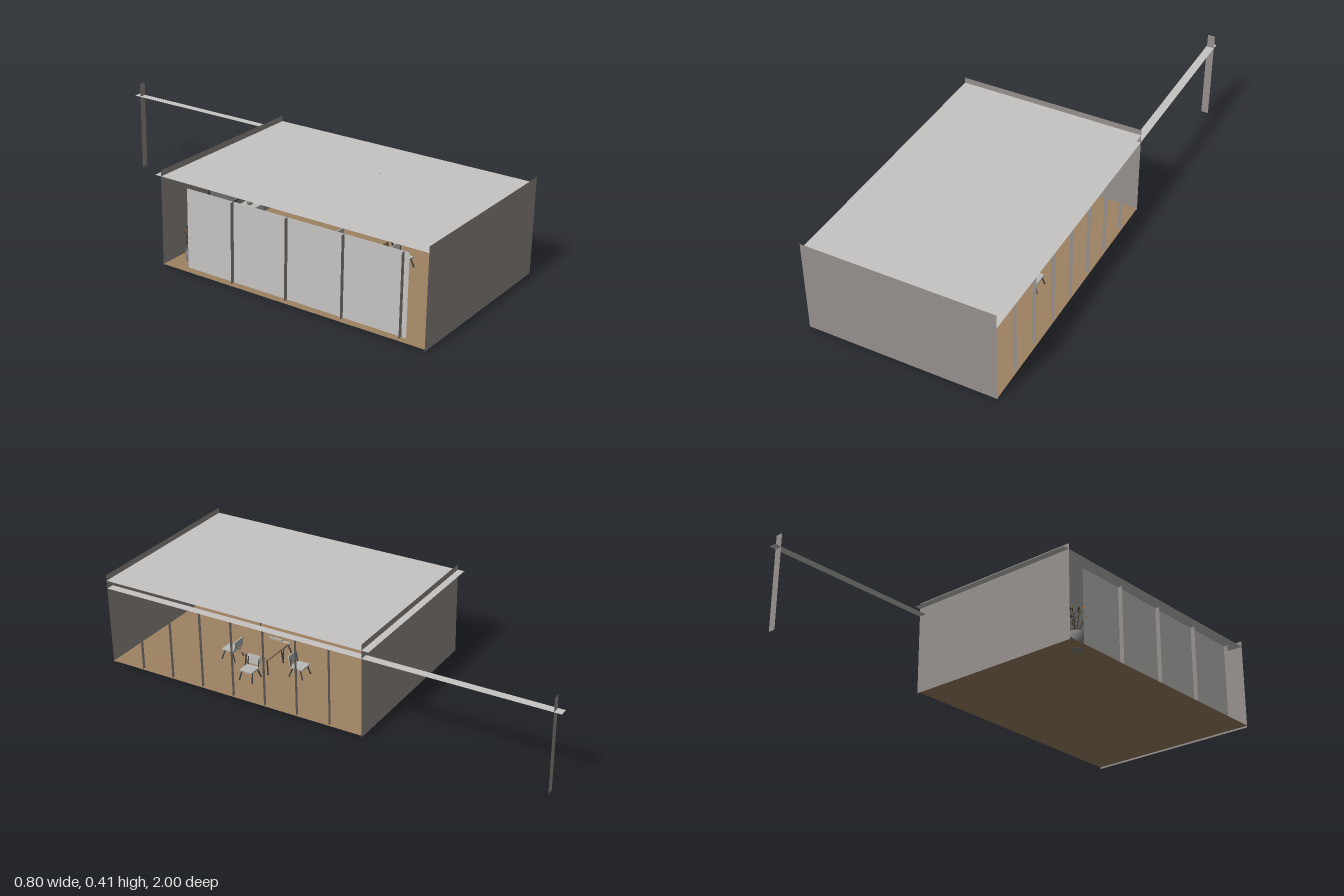
import * as THREE from 'three';

const mat = (name, color, side = THREE.FrontSide) => {
  const m = new THREE.MeshStandardMaterial({ color, side });
  m.name = name;
  return m;
};

export function createModel() {
  const model = new THREE.Group();
  model.name = 'pavilion';
  const D = THREE.DoubleSide;
  const light = mat('pale plaster', 0xc6c5c3, D);
  const wall = mat('warm grey wall', 0x96908d, D);
  const wood = mat('floor wood', 0x9e8263, D);
  const dark = mat('dark metal', 0x3f3f40, D);
  const pale = mat('furniture grey', 0xb9b8b5, D);
  const pot = mat('pot grey', 0x858483, D);
  const leaf = mat('leaf brown', 0x4c4334, D);
  const orange = mat('flower orange', 0xb5763c, D);

  const add = (name, geo, m, x, y, z, parent = model) => {
    const mesh = new THREE.Mesh(geo, m);
    mesh.name = name;
    mesh.position.set(x, y, z);
    parent.add(mesh);
    return mesh;
  };
  const box = (name, m, x0, x1, y0, y1, z0, z1, parent) =>
    add(name, new THREE.BoxGeometry(x1 - x0, y1 - y0, z1 - z0), m,
      (x0 + x1) / 2, (y0 + y1) / 2, (z0 + z1) / 2, parent);
  // flat sheets: upright facing z, upright facing x, and lying flat
  const sheetZ = (name, m, x0, x1, y0, y1, z) =>
    add(name, new THREE.PlaneGeometry(x1 - x0, y1 - y0), m, (x0 + x1) / 2, (y0 + y1) / 2, z);
  const sheetX = (name, m, z0, z1, y0, y1, x) => {
    add(name, new THREE.PlaneGeometry(z1 - z0, y1 - y0), m, x, (y0 + y1) / 2, (z0 + z1) / 2).rotation.y = Math.PI / 2;
  };
  const sheetY = (name, m, x0, x1, z0, z1, y) => {
    add(name, new THREE.PlaneGeometry(x1 - x0, z1 - z0), m, (x0 + x1) / 2, y, (z0 + z1) / 2).rotation.x = -Math.PI / 2;
  };
  // thin round bar between two points
  const bar = (name, m, a, b, r, parent = model) => {
    const p = new THREE.Vector3(...a), q = new THREE.Vector3(...b), d = q.clone().sub(p);
    const mid = p.clone().add(q).multiplyScalar(0.5);
    const mesh = add(name, new THREE.CylinderGeometry(r, r, d.length(), 6), m, mid.x, mid.y, mid.z, parent);
    mesh.quaternion.setFromUnitVectors(new THREE.Vector3(0, 1, 0), d.normalize());
  };

  // shell
  const backZ = -0.195;
  sheetY('floor', wood, -0.4, 0.4, backZ, 1, 0.008);
  sheetY('roof', light, -0.4, 0.4, -0.225, 1, 0.38);
  sheetZ('frontWall', wall, -0.4, 0.4, 0, 0.405, 1);
  sheetZ('backWall', wall, -0.4, 0.4, 0, 0.405, backZ);
  sheetX('sidePanel', light, -0.085, 0.91, 0.015, 0.35, -0.378);

  // rail running past the building to a free post
  sheetY('rail', light, 0.365, 0.4, -1, 1, 0.345);
  sheetZ('post', wall, 0.368, 0.4, 0, 0.405, -0.97);

  // upright fins on both long sides
  for (let i = 1; i < 8; i++) {
    const z = 1 - i * (1 - backZ) / 8;
    sheetZ('glazingFin', wall, 0.382, 0.397, 0.008, 0.345, z);
  }
  for (let i = 0; i < 4; i++) {
    sheetZ('panelFin', wall, -0.397, -0.378, 0.015, 0.35, 0.14 + i * 0.25);
  }

  // table
  const tx = 0.125, tz = 0.43;
  box('tableTop', wood, tx - 0.075, tx + 0.075, 0.09, 0.096, tz - 0.075, tz + 0.075);
  for (const sx of [-1, 1]) for (const sz of [-1, 1]) {
    bar('tableLeg', dark, [tx + sx * 0.052, 0.09, tz + sz * 0.05], [tx + sx * 0.058, 0.008, tz + sz * 0.057], 0.003);
  }

  // chairs, each built with its back at -z and its seat reaching to +z
  const chair = (x, z, turn) => {
    const g = new THREE.Group();
    g.name = 'chair';
    g.position.set(x, 0, z);
    g.rotation.y = turn;
    box('seat', pale, -0.03, 0.03, 0.05, 0.056, -0.025, 0.033, g);
    const back = box('back', pale, -0.03, 0.03, 0.062, 0.102, -0.033, -0.028, g);
    back.rotation.x = -0.15;
    for (const s of [-1, 1]) {
      bar('frontLeg', dark, [s * 0.025, 0.05, 0.02], [s * 0.032, 0.008, 0.034], 0.003, g);
      bar('backLeg', dark, [s * 0.025, 0.05, -0.015], [s * 0.032, 0.008, -0.032], 0.003, g);
      bar('backPost', dark, [s * 0.025, 0.05, -0.022], [s * 0.026, 0.09, -0.03], 0.0025, g);
    }
    model.add(g);
  };
  chair(0.13, 0.583, 0);
  chair(0.12, 0.26, Math.PI);
  chair(0.24, 0.422, Math.PI / 2);
  chair(0.01, 0.422, -Math.PI / 2);

  // pendant lamps
  for (const z of [0.467, 0.38]) {
    bar('lampCord', dark, [tx, 0.29, z], [tx, 0.38, z], 0.0015);
    add('lampShade', new THREE.CylinderGeometry(0.003, 0.005, 0.014, 8), dark, tx, 0.284, z);
  }
  bar('floorRod', dark, [-0.02, 0.1, 0.54], [-0.02, 0.16, 0.54], 0.0015);

  // sideboard with things on it and a framed panel above
  box('sideboard', pale, -0.2, 0.157, 0.028, 0.1, -0.193, -0.115);
  for (const x of [-0.185, 0.142]) for (const z of [-0.183, -0.125]) {
    bar('sideboardLeg', dark, [x, 0.028, z], [x, 0.008, z], 0.003);
  }
  sheetZ('frame', dark, -0.12, 0.08, 0.125, 0.26, -0.187);
  sheetZ('framePicture', pale, -0.112, 0.072, 0.132, 0.253, -0.185);
  for (const [x, r] of [[-0.15, 0.014], [-0.1, 0.01], [0.11, 0.013]]) {
    add('bowl', new THREE.SphereGeometry(r, 10, 8), pot, x, 0.1 + r, -0.153);
  }

  // potted plant
  const px = -0.345, pz = -0.088;
  const profile = [[0, 0.005], [0.024, 0.005], [0.024, 0.012], [0.016, 0.018], [0.026, 0.035],
    [0.031, 0.06], [0.028, 0.08], [0.024, 0.08], [0.024, 0.072], [0, 0.072]];
  add('pot', new THREE.LatheGeometry(profile.map(p => new THREE.Vector2(...p)), 16), pot, px, 0, pz);
  for (let i = 0; i < 22; i++) {
    const a = i * 2.4, r = 0.012 + 0.03 * ((i * 7) % 11) / 11, y = 0.1 + 0.095 * i / 21;
    const x = px + Math.cos(a) * r, z = pz + Math.sin(a) * r;
    if (i % 3 === 0) bar('stem', leaf, [px, 0.072, pz], [x, y, z], 0.0012);
    const l = add('leaf', new THREE.CircleGeometry(0.009, 6), i % 4 === 1 ? orange : leaf, x, y, z);
    l.rotation.set(a, a * 1.7, 0);
    l.scale.y = 0.6;
  }
  return model;
}
